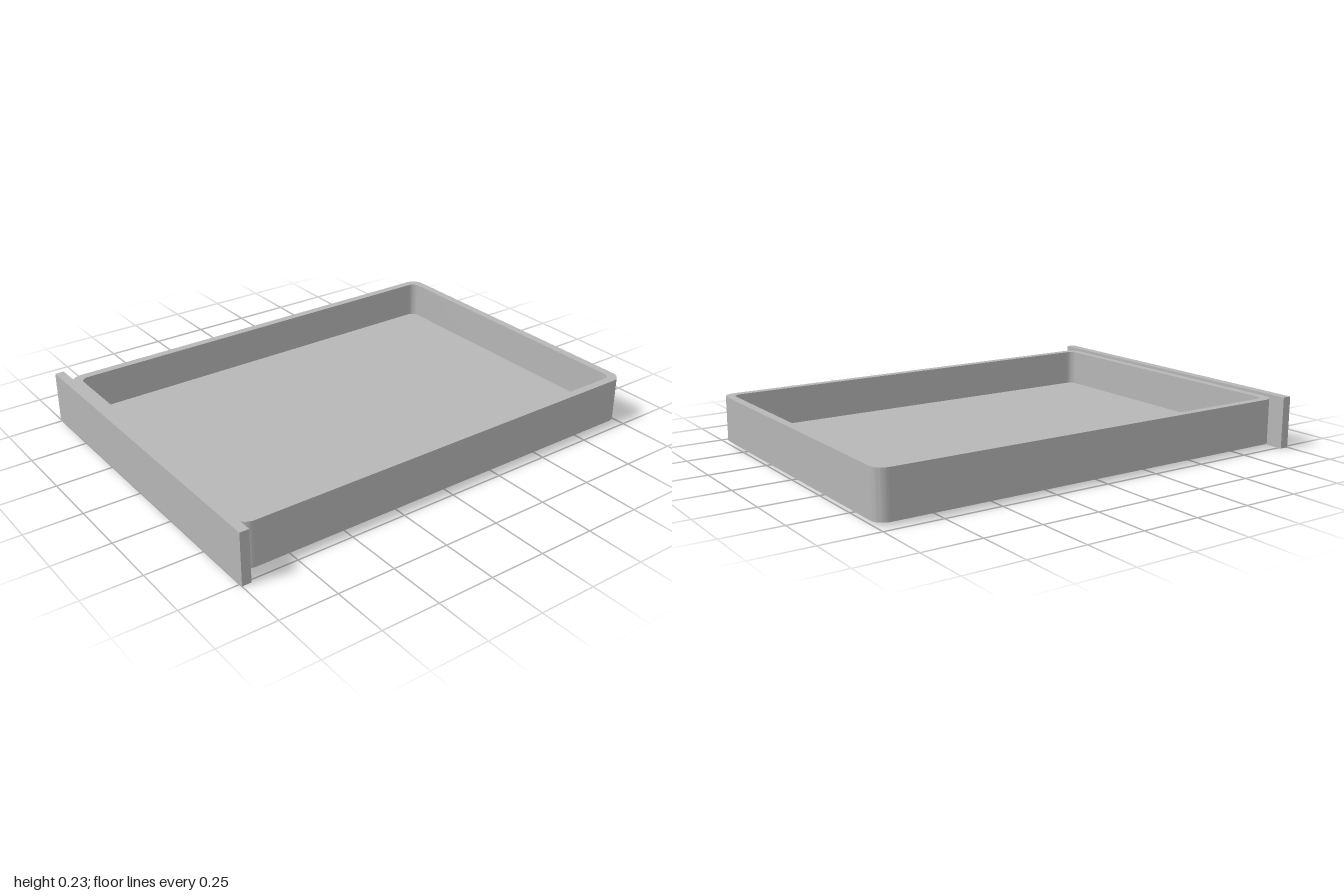
import * as THREE from 'three';
import { toCreasedNormals } from 'three/addons/utils/BufferGeometryUtils.js';

const WIDTH = 1.426, DEPTH = 1.96, WALL = 0.037;   // tray footprint and wall thickness
const BOTTOM = 0.015, FLOOR = 0.05, RIM = 0.215;   // tray heights

// Rounded rectangle centred on the origin
function roundedRect(target, w, d, r) {
  const x = w / 2 - r, y = d / 2 - r;
  target.absarc(x, y, r, 0, Math.PI / 2);
  target.absarc(-x, y, r, Math.PI / 2, Math.PI);
  target.absarc(-x, -y, r, Math.PI, Math.PI * 1.5);
  target.absarc(x, -y, r, Math.PI * 1.5, Math.PI * 2);
  target.closePath();
  return target;
}

// Extrude a plan outline upwards between two heights
function slab(shape, y0, y1) {
  const geo = new THREE.ExtrudeGeometry(shape, { depth: y1 - y0, bevelEnabled: false, curveSegments: 10 });
  geo.rotateX(-Math.PI / 2);
  geo.translate(0, y0, -0.02);
  return toCreasedNormals(geo, Math.PI / 6);
}

export function createModel() {
  const model = new THREE.Group();
  model.name = 'drawer';
  const grey = new THREE.MeshStandardMaterial({ color: 0xb6b6b6 });
  grey.name = 'grey';

  const add = (name, geometry) => {
    const mesh = new THREE.Mesh(geometry, grey);
    mesh.name = name;
    model.add(mesh);
    return mesh;
  };

  // Floor with rounded corners
  add('trayFloor', slab(roundedRect(new THREE.Shape(), WIDTH, DEPTH, 0.055), BOTTOM, FLOOR));

  // Wall ring standing on the floor
  const ring = roundedRect(new THREE.Shape(), WIDTH, DEPTH, 0.055);
  ring.holes.push(roundedRect(new THREE.Path(), WIDTH - 2 * WALL, DEPTH - 2 * WALL, 0.035));
  add('trayWalls', slab(ring, FLOOR, RIM));

  // Wider, taller front panel
  add('frontPanel', new THREE.BoxGeometry(1.53, 0.228, 0.04)).position.set(0, 0.114, 0.98);

  return model;
}
